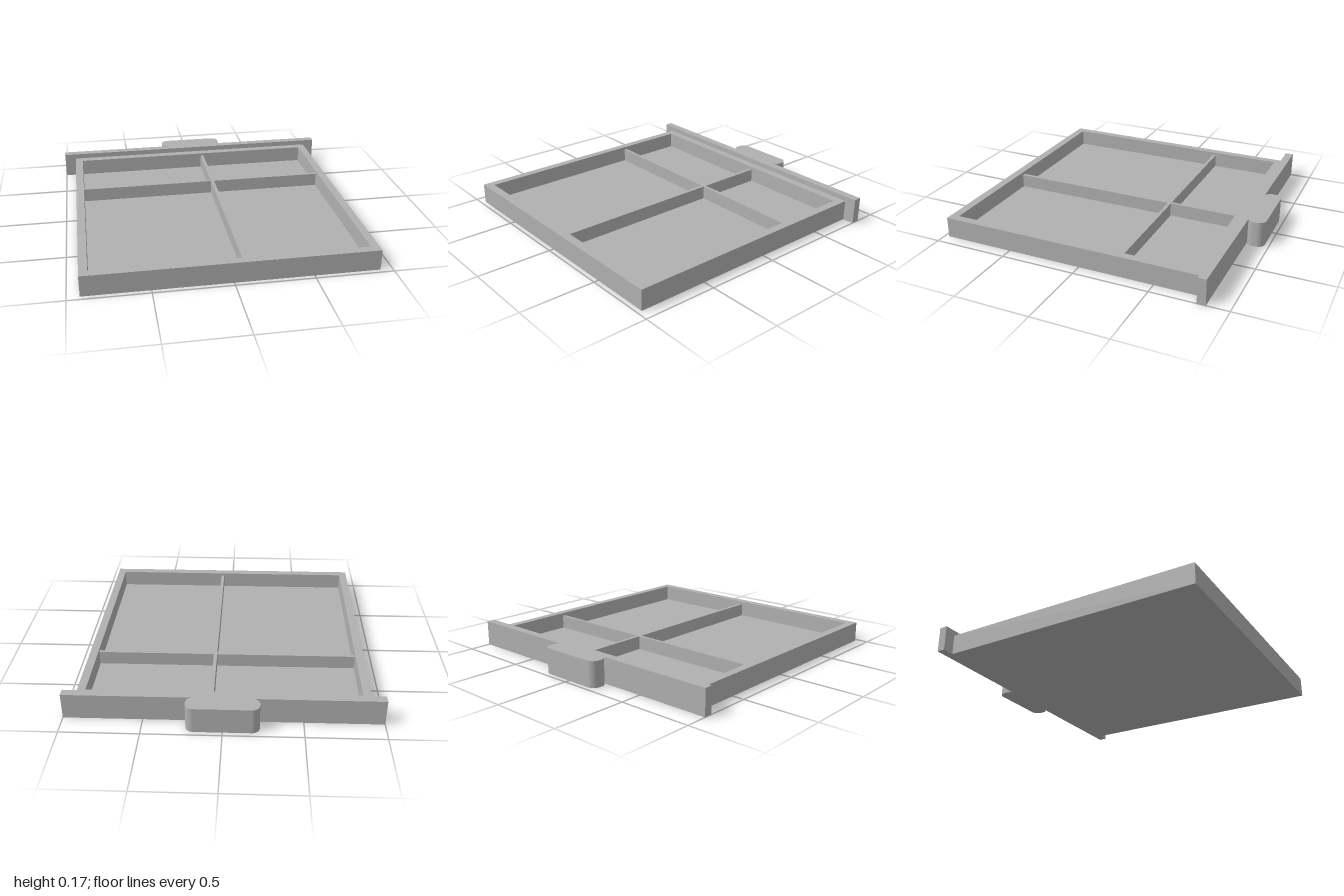
import * as THREE from 'three';

// Rectangle path in plan; plan y is -z
function rect(path, x0, x1, z0, z1) {
  path.moveTo(x0, -z1);
  path.lineTo(x1, -z1);
  path.lineTo(x1, -z0);
  path.lineTo(x0, -z0);
  path.closePath();
  return path;
}

// Extrude a plan outline upwards from y0 to y1
function slab(name, shape, y0, y1, material) {
  const geometry = new THREE.ExtrudeGeometry(shape, {
    depth: y1 - y0, bevelEnabled: false, curveSegments: 12,
  });
  geometry.rotateX(-Math.PI / 2);
  geometry.translate(0, y0, 0);
  const mesh = new THREE.Mesh(geometry, material);
  mesh.name = name;
  return mesh;
}

export function createModel() {
  const grey = new THREE.MeshStandardMaterial({ color: 0xb0b0b0 });
  grey.name = 'plain grey';
  const model = new THREE.Group();
  model.name = 'dividedDrawer';

  const inner = [-0.867, 0.867, -0.743, 0.913];

  // Tray walls and recessed floor
  const rim = rect(new THREE.Shape(), -0.921, 0.921, -0.8, 0.97);
  rim.holes.push(rect(new THREE.Path(), ...inner));
  model.add(slab('trayWalls', rim, 0, 0.137, grey));
  model.add(slab('trayFloor', rect(new THREE.Shape(), ...inner), 0, 0.025, grey));

  // Cross-shaped divider, a little lower than the walls
  const [x0, x1, z0, z1] = inner;
  const [a, b, c, d] = [0.063, 0.086, -0.273, -0.251];
  const cross = new THREE.Shape([
    [a, z1], [b, z1], [b, d], [x1, d], [x1, c], [b, c],
    [b, z0], [a, z0], [a, c], [x0, c], [x0, d], [a, d],
  ].map(([x, z]) => new THREE.Vector2(x, -z)));
  model.add(slab('dividers', cross, 0.025, 0.117, grey));

  // End panel and rounded pull handle in one outline
  const r = 0.05, w = 0.228, back = 0.97, face = 0.855;
  const panel = new THREE.Shape();
  panel.moveTo(-1, 0.8);
  panel.lineTo(1, 0.8);
  panel.lineTo(1, face);
  panel.lineTo(w - 0.031, face);
  panel.absarc(w - r, face + 0.046, r, -1.18, 0, false);
  panel.absarc(w - r, back - r, r, 0, Math.PI / 2, false);
  panel.absarc(-w + r, back - r, r, Math.PI / 2, Math.PI, false);
  panel.absarc(-w + r, face + 0.046, r, Math.PI, Math.PI + 1.18, false);
  panel.lineTo(-w + 0.031, face);
  panel.lineTo(-1, face);
  panel.closePath();
  model.add(slab('endPanelWithHandle', panel, 0, 0.172, grey));

  return model;
}
